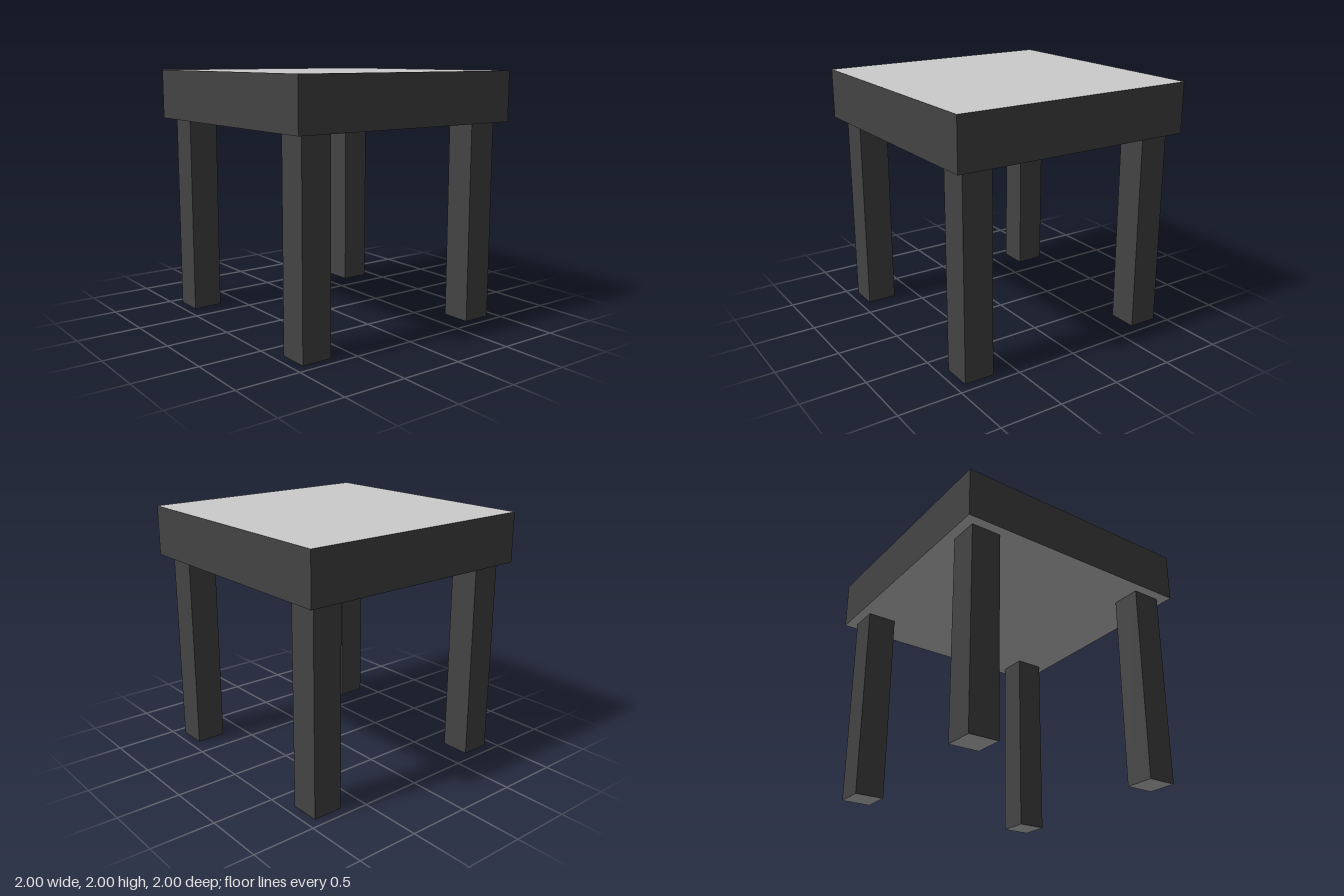
import * as THREE from 'three';

export function createModel() {
  const model = new THREE.Group();
  model.name = 'stool';

  const dark = new THREE.MeshStandardMaterial({ color: 0x444444 });
  const grey = new THREE.MeshStandardMaterial({ color: 0xcccccc });
  // Dark sides, grey top and bottom (box face order: +x, -x, +y, -y, +z, -z)
  const faces = [dark, dark, grey, grey, dark, dark];

  // Square block standing on height y
  function addBlock(name, width, height, x, y, z) {
    const block = new THREE.Mesh(new THREE.BoxGeometry(width, height, width), faces);
    block.name = name;
    block.position.set(x, y + height / 2, z);
    model.add(block);
  }

  // Thick square seat
  addBlock('seat', 2, 0.4, 0, 1.6, 0);

  // Four square legs, set in slightly from the corners
  for (const [sideName, sx] of [['Left', 1], ['Right', -1]]) {
    for (const [endName, sz] of [['front', 1], ['back', -1]]) {
      addBlock(`${endName}${sideName}Leg`, 0.24, 1.6, sx * 0.8, 0, sz * 0.8);
    }
  }

  return model;
}
